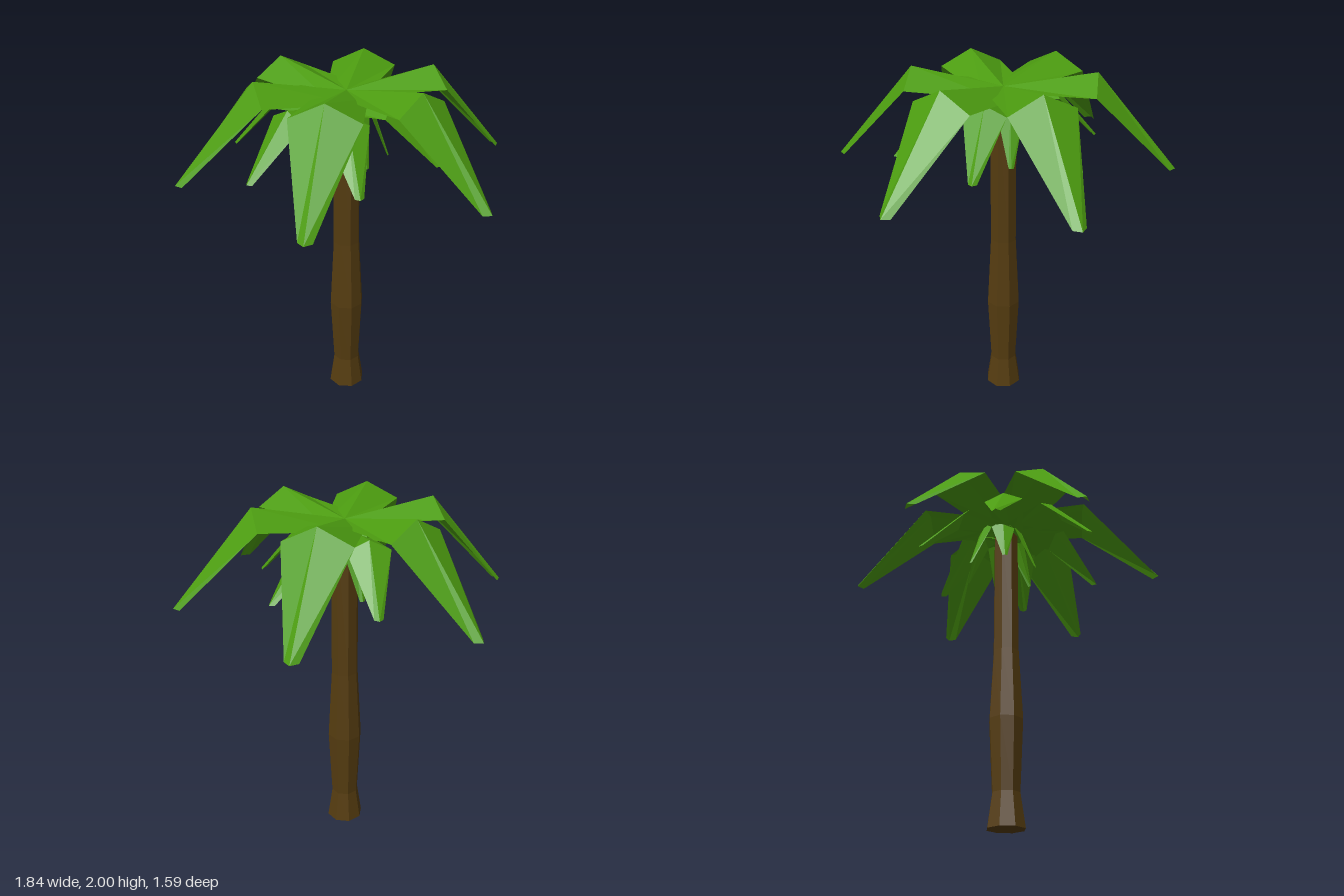
import * as THREE from 'three';

const leafGreen = new THREE.MeshStandardMaterial({ color: 0x4c9c10, flatShading: true, side: THREE.DoubleSide });
const barkBrown = new THREE.MeshStandardMaterial({ color: 0x553c10, flatShading: true });

// Folded leaf along +x: each section is [x, ridge y, edge x, half width, +z edge y, -z edge y]
function frondGeometry(sections) {
  const rows = sections.map(([x, y, ex, w, yp, yn]) => [[ex, yn, -w], [x, y, 0], [ex, yp, w]]);
  const positions = [];
  for (let i = 0; i < rows.length - 1; i++) {
    for (let j = 0; j < 2; j++) {
      const a = rows[i][j], b = rows[i][j + 1], c = rows[i + 1][j + 1], d = rows[i + 1][j];
      positions.push(...a, ...b, ...c, ...a, ...c, ...d);
    }
  }
  const geometry = new THREE.BufferGeometry();
  geometry.setAttribute('position', new THREE.Float32BufferAttribute(positions, 3));
  geometry.computeVertexNormals();
  return geometry;
}

// Ring of six fronds; y = 0 is the height of the knee
function frondRing(name, { reach, drop, width, x = 0, y, z = 0, turn = 0 }) {
  const ring = new THREE.Group();
  ring.name = name;
  const rise = drop * 0.18, fold = drop * 0.17;
  const geometry = frondGeometry([
    [0, -rise, 0, width * 0.64, -rise, -rise - fold * 0.45],
    [reach * 0.527, 0, reach * 0.527, width, -fold, -fold],
    [reach, -drop, reach * 0.967, width * 0.2, -drop, -drop],
  ]);
  for (let i = 0; i < 6; i++) {
    const frond = new THREE.Mesh(geometry, leafGreen);
    frond.name = 'frond';
    frond.rotation.y = -THREE.MathUtils.degToRad(turn + i * 60);
    ring.add(frond);
  }
  ring.position.set(x, y, z);
  return ring;
}

export function createModel() {
  const tree = new THREE.Group();
  tree.name = 'palmTree';

  // Eight-sided trunk with flared foot and a slight bulge
  const profile = [[0, 0], [0.108, 0], [0.08, 0.19], [0.1, 0.6], [0.077, 1.02], [0.075, 1.83], [0, 1.83]];
  const trunk = new THREE.Mesh(
    new THREE.LatheGeometry(profile.map(([r, y]) => new THREE.Vector2(r, y)), 8), barkBrown);
  trunk.name = 'trunk';
  tree.add(trunk);

  // Three tiers of leaves
  tree.add(
    frondRing('upperFronds', { reach: 0.92, drop: 0.5, width: 0.18, y: 2 }),
    frondRing('middleFronds', { reach: 0.58, drop: 0.315, width: 0.113, x: -0.07, y: 1.88, turn: 35 }),
    frondRing('lowerFronds', { reach: 0.23, drop: 0.32, width: 0.07, x: 0.01, y: 1.86, z: -0.03, turn: 20 }),
  );
  return tree;
}
